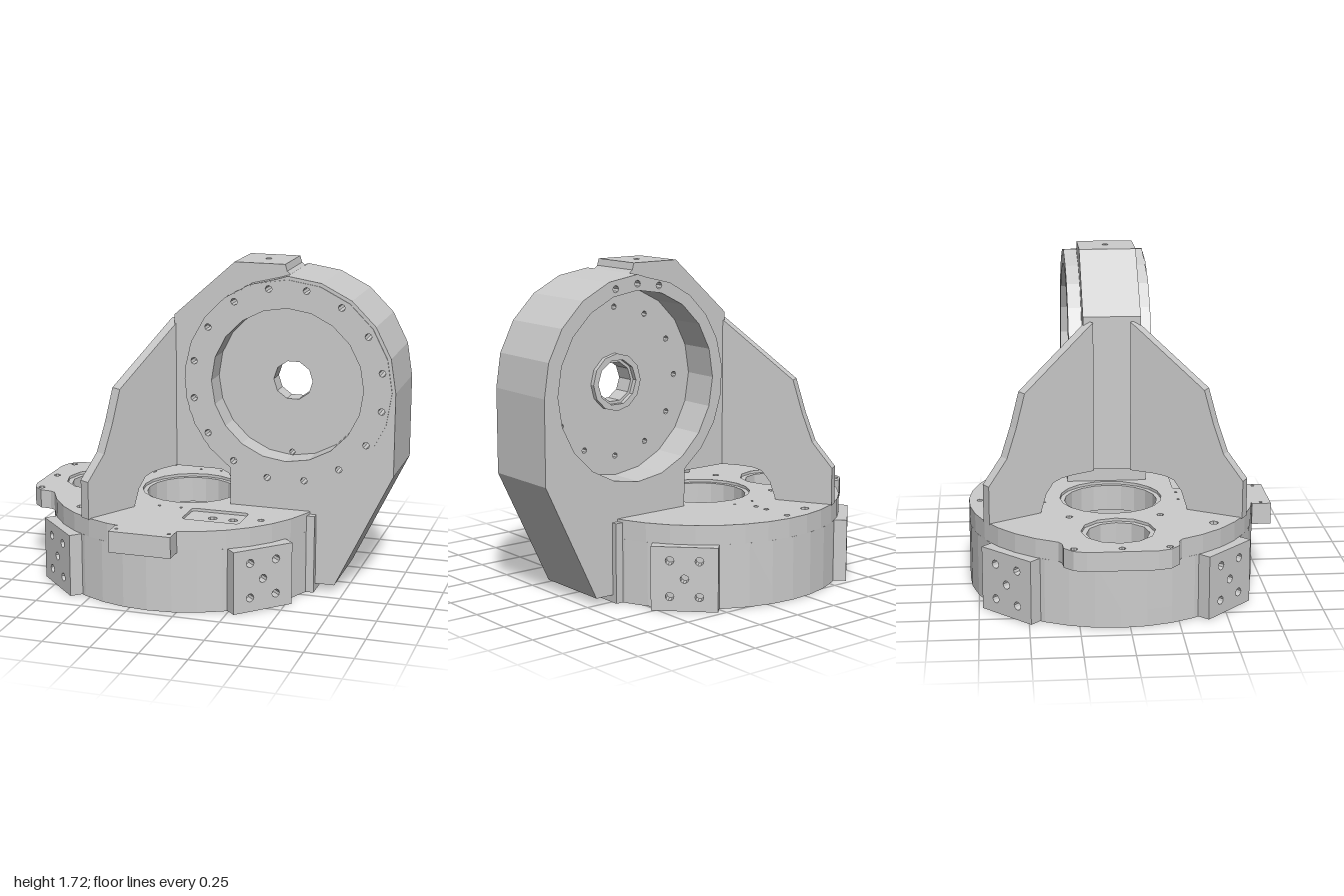
import * as THREE from 'three';

const material = new THREE.MeshStandardMaterial({ color: 0xcccccc, flatShading: true });
const RAD = Math.PI / 180;

// points along an arc, angles in degrees
function arc(x, y, r, a0, a1, n) {
  const pts = [];
  for (let i = 0; i <= n; i++) {
    const a = (a0 + (a1 - a0) * i / n) * RAD;
    pts.push([x + r * Math.cos(a), y + r * Math.sin(a)]);
  }
  return pts;
}
const circle = (x, y, r, n = 10) => arc(x, y, r, 0, 360 * (n - 1) / n, n - 1);
// equally spaced small holes on a pitch circle
const boltCircle = (x, y, R, r, n, start = 0) =>
  circle(0, 0, R, n).map((_, i) => {
    const a = (start + 360 * i / n) * RAD;
    return circle(x + R * Math.cos(a), y + R * Math.sin(a), r, 8);
  });
const vecs = pts => pts.map(p => new THREE.Vector2(p[0], p[1]));

// slab between z0 and z1 with holes cut through
function slab(outline, z0, z1, holes = []) {
  const shape = new THREE.Shape(vecs(outline));
  holes.forEach(h => shape.holes.push(new THREE.Path(vecs(h))));
  return new THREE.ExtrudeGeometry(shape, { depth: z1 - z0, bevelEnabled: false }).translate(0, 0, z0);
}
// the same lying flat, between heights y0 and y1 (outline y is -z)
const flat = (outline, y0, y1, holes) => slab(outline, y0, y1, holes).rotateX(-Math.PI / 2);

function add(parent, name, geometry) {
  const mesh = new THREE.Mesh(geometry, material);
  mesh.name = name;
  parent.add(mesh);
  return mesh;
}

function buildBase() {
  const base = new THREE.Group();
  base.name = 'base';
  const cx = -0.155, cy = 0.045, R = 0.752;
  const round = circle(cx, cy, R, 36);

  // hollow body
  add(base, 'bottomRing', flat(round, 0, 0.09,
    [circle(cx, cy, 0.655, 32), ...boltCircle(cx, cy, 0.7, 0.012, 20, 9)]));
  add(base, 'sideWall', flat(round, 0.09, 0.335, [circle(cx, cy, 0.62, 32)]));

  // top plate with the ear on the right-hand side
  const plate = [...arc(cx, cy, R, -156, 156, 32),
    [-0.87, 0.335], [-0.93, 0.33], [-0.98, 0.285], [-1, 0.22],
    [-1, -0.13], [-0.98, -0.195], [-0.93, -0.24], [-0.87, -0.245]];
  const smallHoles = [
    [-0.945, 0.28, 0.018], [-0.945, -0.19, 0.018], [-0.953, 0.045, 0.018],
    [-0.465, 0.28, 0.018], [-0.465, -0.19, 0.018],
    [-0.33, 0.69, 0.024], [-0.61, -0.45, 0.024], [-0.16, 0.74, 0.016],
    [-0.16, 0.58, 0.014], [-0.16, 0.5, 0.014], [0.36, -0.39, 0.018],
    [-0.22, 0.4, 0.008], [-0.1, 0.4, 0.008], [-0.22, -0.31, 0.008], [-0.1, -0.31, 0.008],
  ].map(([x, y, r]) => circle(x, y, r, 8));
  const pocket = [...arc(0.25, -0.32, 0.02, 0, 90, 3), ...arc(-0.02, -0.32, 0.02, 90, 180, 3),
    ...arc(-0.02, -0.465, 0.02, 180, 270, 3), ...arc(0.25, -0.465, 0.02, 270, 360, 3)];
  add(base, 'topPlate', flat(plate, 0.335, 0.42, [...smallHoles,
    circle(cx, cy, 0.245, 20), circle(-0.69, cy, 0.16, 12),
    circle(0.1, -0.39, 0.024, 8), circle(0.21, -0.39, 0.024, 8)]));
  add(base, 'topSurface', flat(plate, 0.42, 0.435, [...smallHoles, pocket,
    circle(cx, cy, 0.27, 20), circle(-0.69, cy, 0.188, 12)]));

  // collars under the two large openings
  add(base, 'centreCollar', flat(circle(cx, cy, 0.3, 20), 0.28, 0.335, [circle(cx, cy, 0.245, 20)]));
  add(base, 'sideCollar', flat(circle(-0.69, cy, 0.188, 12), 0.28, 0.335, [circle(-0.69, cy, 0.16, 12)]));

  // front tab
  add(base, 'frontTab', flat([[-0.325, -0.79], [0.005, -0.79], [0.005, -0.69], [-0.325, -0.69]],
    0.322, 0.435, [circle(-0.3, -0.74, 0.009, 8), circle(-0.02, -0.74, 0.009, 8)]));

  // block behind the arm foot
  const block = new THREE.BoxGeometry(0.12, 0.42, 0.495).translate(0.537, 0.21, -0.0425);
  add(base, 'armSeat', block);

  // four diagonal mounting pads with five holes each
  const padHoles = [[0, 0.17], [-0.075, 0.077], [0.075, 0.077], [-0.075, 0.263], [0.075, 0.263]]
    .map(([x, y]) => circle(x, y, 0.022));
  const padShape = [[-0.17, 0.002], [0.17, 0.002], [0.17, 0.335], [-0.17, 0.335]];
  for (let i = 0; i < 4; i++) {
    const pad = add(base, 'mountingPad', slab(padShape, 0.69, 0.8, padHoles));
    pad.position.set(cx, 0, -cy);
    pad.rotation.y = (45 + 90 * i) * RAD;
  }
  return base;
}

function buildArm() {
  const arm = new THREE.Group();
  arm.name = 'arm';
  const cx = 0.43, cy = 1.1;

  // full-width housing and foot, in three layers so both faces are recessed
  const outline = [[0.59, 0.42], [0.59, 0.04], [0.7, 0.04], [1, 0.66],
    ...arc(cx, cy, 0.57, 0, 90, 5), ...arc(cx, cy, 0.555, 96, 237, 9), [0.13, 0.42]];
  const centre = circle(cx, cy, 0.105);
  const rimHoles = [75, 90, 105].map(a => circle(cx + 0.523 * Math.cos(a * RAD), cy + 0.523 * Math.sin(a * RAD), 0.018, 8));
  add(arm, 'backRim', slab(outline, -0.26, -0.06, [circle(cx, cy, 0.49, 20), ...rimHoles]));
  add(arm, 'housingFloor', slab(outline, -0.06, 0.04, [centre, ...boltCircle(cx, cy, 0.388, 0.015, 12, 90)]));
  add(arm, 'frontRim', slab(outline, 0.04, 0.17,
    [circle(cx, cy, 0.405, 20), ...boltCircle(cx, cy, 0.51, 0.018, 16, 11.25)]));
  add(arm, 'frontRing', slab(circle(cx, cy, 0.552, 20), 0.17, 0.175,
    [circle(cx, cy, 0.405, 20), ...boltCircle(cx, cy, 0.51, 0.018, 16, 11.25)]));
  add(arm, 'bearingBoss', slab(circle(cx, cy, 0.15, 12), -0.085, -0.06, [circle(cx, cy, 0.12, 10)]));

  // closes the floor holes that do not pass through
  const caps = [];
  for (let i = 0; i < 12; i++) {
    if (i % 6 === 0) continue;
    const a = (90 + 30 * i) * RAD;
    caps.push([cx + 0.388 * Math.cos(a), cy + 0.388 * Math.sin(a)]);
  }
  caps.forEach(([x, y]) => add(arm, 'holeBottom', slab(circle(x, y, 0.016, 8), 0, 0.04)));

  // narrower web joining the housing to the ribs, with the raised top block
  const web = [[-0.2, 0.605], [0.06, 0.605], [0.1, 0.585], [0.125, 0.54], [0.14, 0.52],
    ...arc(cx, cy, 0.52, 236, 92, 12), [0.44, 1.66], [0.41, 1.685], [0.4, 1.72], [0.13, 1.72], [-0.2, 1.425]];
  add(arm, 'web', slab(web, -0.19, 0.11));
  const bolt = new THREE.CylinderGeometry(0.016, 0.016, 0.006, 8).translate(0.27, 1.72, -0.0425);
  add(arm, 'topBolt', bolt);
  return arm;
}

// splayed rib, arched over the centre opening
function buildRib(side) {
  const profile = [[-0.03, 0.605], [0.1, 0.605], [0.17, 0.6], [0.22, 0.585], [0.265, 0.53], [0.3, 0.43],
    [0.606, 0.43], [0.606, 0.63], [0.497, 0.76], [0.44, 0.91], [0.387, 1.085], [0, 1.38], [-0.03, 1.4]];
  const rib = new THREE.Mesh(side > 0 ? slab(profile, 0, 0.06) : slab(profile, -0.06, 0), material);
  rib.name = side > 0 ? 'frontRib' : 'backRib';
  rib.position.set(-0.19, 0, -0.0425 + side * 0.152);
  rib.rotation.y = -side * 120 * RAD;
  return rib;
}

export function createModel() {
  const model = new THREE.Group();
  model.name = 'pivotMount';
  model.add(buildBase(), buildArm(), buildRib(1), buildRib(-1));
  return model;
}
